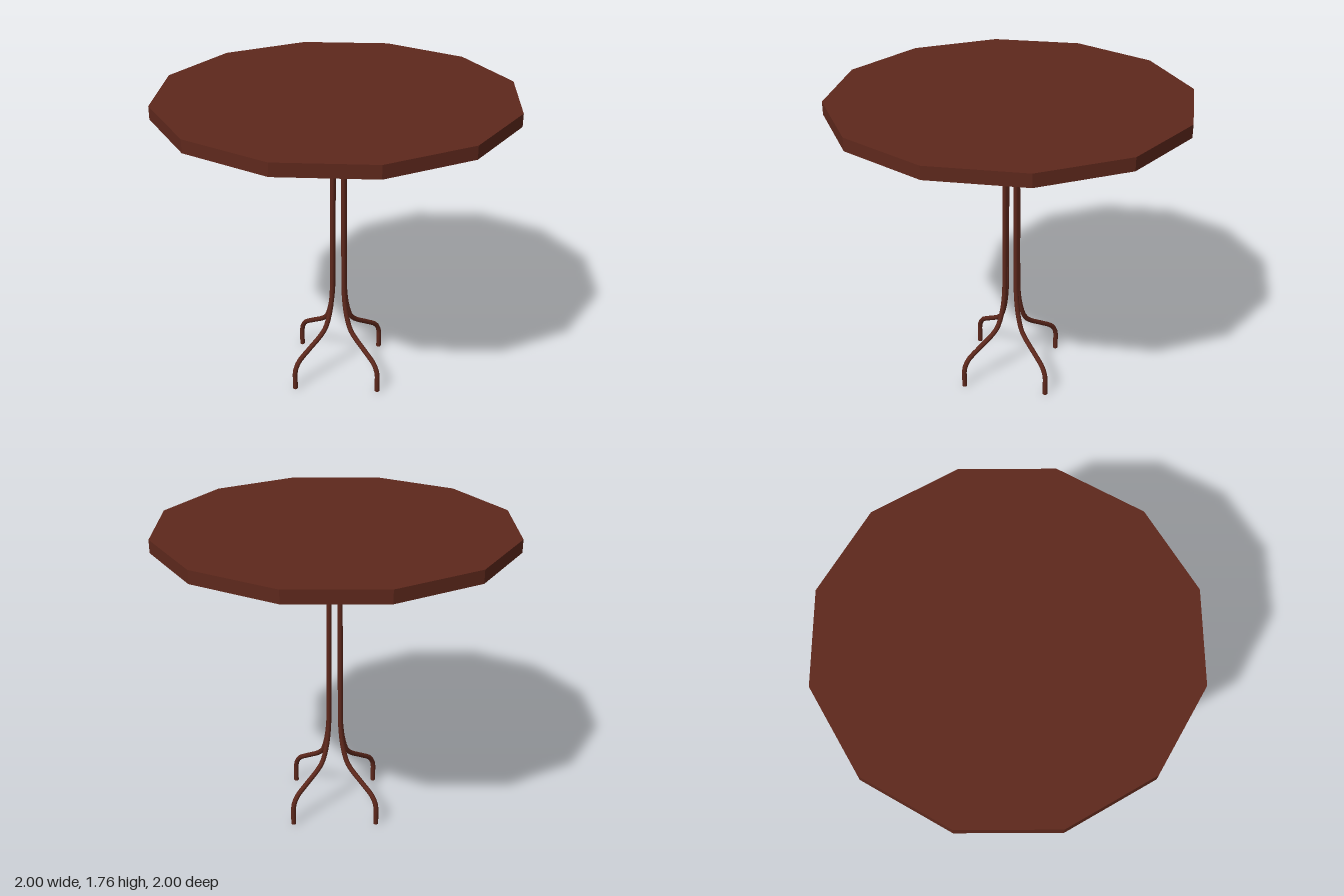
import * as THREE from 'three';

const WOOD = 0x5e281c;
const LEG_RADIUS = 0.0145;

// Leg profile: [distance from the stem axis, height], foot to table top
const LEG_PROFILE = [
  [0.344, 0], [0.344, 0.06], [0.342, 0.12], [0.315, 0.172], [0.23, 0.229],
  [0.14, 0.285], [0.103, 0.322], [0.07, 0.41], [0.051, 0.53],
  [0.047, 0.7], [0.045, 1.1], [0.041, 1.5], [0.04, 1.7],
];

function createLeg(material) {
  const leg = new THREE.Group();
  const path = new THREE.CatmullRomCurve3(
    LEG_PROFILE.map(([r, y]) => new THREE.Vector3(r, y, 0)), false, 'centripetal');
  const tube = new THREE.Mesh(new THREE.TubeGeometry(path, 56, LEG_RADIUS, 8), material);
  tube.name = 'legTube';

  // Closed underside of the foot
  const cap = new THREE.Mesh(new THREE.CircleGeometry(LEG_RADIUS, 8), material);
  cap.name = 'footCap';
  cap.rotation.x = Math.PI / 2;
  cap.position.x = LEG_PROFILE[0][0];

  leg.add(tube, cap);
  return leg;
}

export function createModel() {
  const table = new THREE.Group();
  table.name = 'table';

  // Twelve-sided top
  const topMaterial = new THREE.MeshStandardMaterial({ color: WOOD, flatShading: true });
  const top = new THREE.Mesh(new THREE.CylinderGeometry(1, 1, 0.072, 12), topMaterial);
  top.name = 'tableTop';
  top.position.y = 1.728;
  table.add(top);

  // Four bent legs bundled into a stem, spreading at the floor
  const legMaterial = new THREE.MeshStandardMaterial({ color: WOOD });
  const legs = new THREE.Group();
  legs.name = 'legs';
  legs.position.set(0.003, 0, -0.008);
  ['leftLeg', 'backLeg', 'rightLeg', 'frontLeg'].forEach((name, i) => {
    const leg = createLeg(legMaterial);
    leg.name = name;
    leg.rotation.y = i * Math.PI / 2;
    legs.add(leg);
  });
  table.add(legs);

  return table;
}
